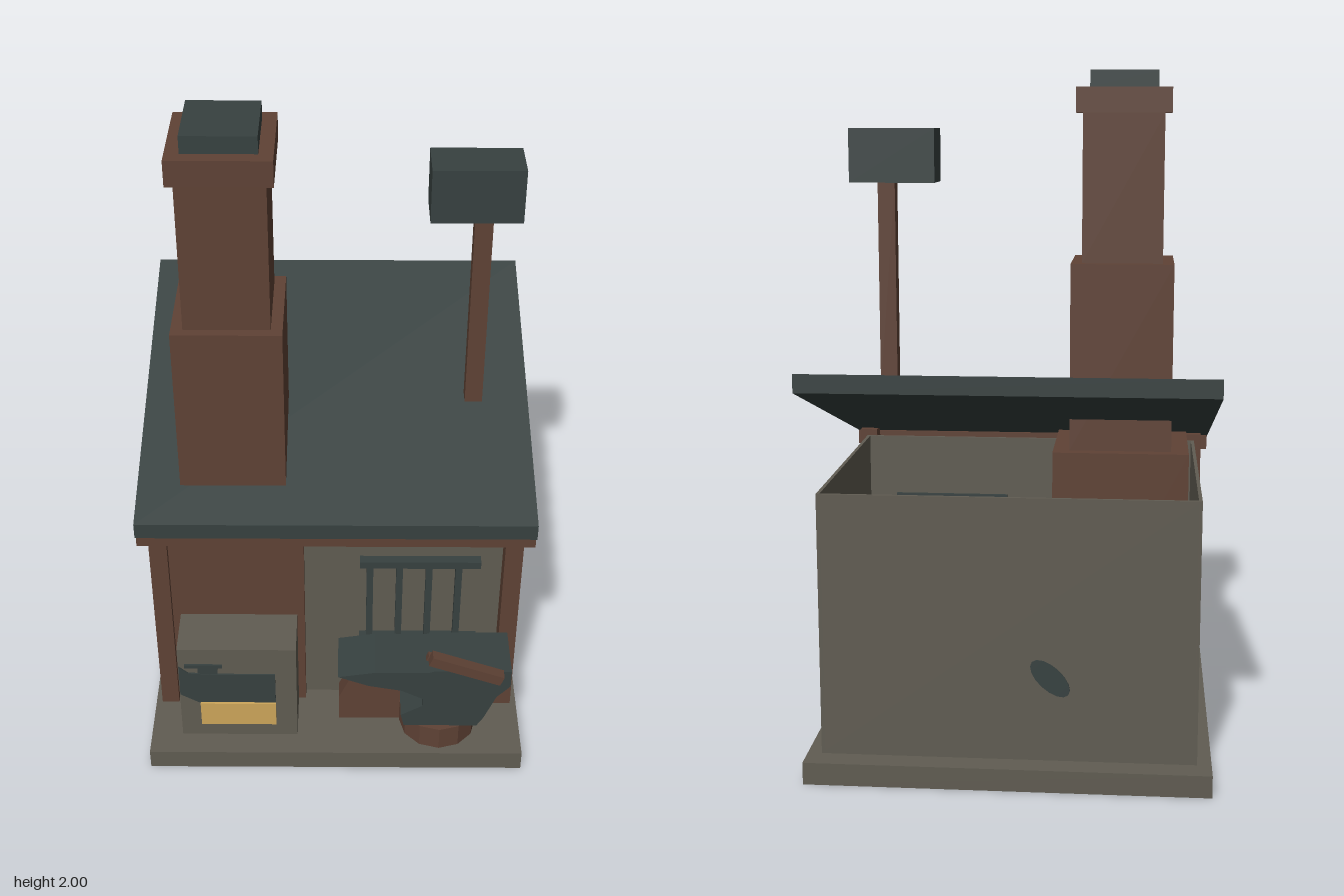
import * as THREE from 'three';

const flat = (name, color) => {
  const m = new THREE.MeshStandardMaterial({ color });
  m.name = name;
  return m;
};

export function createModel() {
  const model = new THREE.Group();
  model.name = 'smithy';
  const stone = flat('stone', 0x605c52);
  const brown = flat('brown', 0x5f4235);
  const iron = flat('iron', 0x374140);
  const gold = flat('ember gold', 0xcda65a);

  const add = (name, geometry, material) => {
    const mesh = new THREE.Mesh(geometry, material);
    mesh.name = name;
    model.add(mesh);
    return mesh;
  };
  // Box given by its extents on each axis
  const box = (name, material, x0, x1, y0, y1, z0, z1) => {
    const mesh = add(name, new THREE.BoxGeometry(x1 - x0, y1 - y0, z1 - z0), material);
    mesh.position.set((x0 + x1) / 2, (y0 + y1) / 2, (z0 + z1) / 2);
    return mesh;
  };
  // Outline in x and y, extruded between two z values
  const slice = (name, material, points, z0, z1) => {
    const shape = new THREE.Shape(points.map(([x, y]) => new THREE.Vector2(x, y)));
    const mesh = add(name, new THREE.ExtrudeGeometry(shape, { depth: z1 - z0, bevelEnabled: false }), material);
    mesh.position.z = z0;
    return mesh;
  };

  // Base slab, hollow underneath
  box('baseTop', stone, -0.575, 0.575, 0.055, 0.065, -0.575, 0.575);
  for (const s of [-1, 1]) {
    const a = s * 0.572;
    box('baseSide', stone, a - 0.005, a + 0.005, 0, 0.065, -0.577, 0.577);
    box('baseEnd', stone, -0.577, 0.577, 0, 0.065, a - 0.005, a + 0.005);
  }

  // Thin walls, open at the top
  for (const s of [-1, 1]) {
    box('sideWall', stone, s * 0.531 - 0.005, s * 0.531 + 0.005, 0.065, 0.83, -0.505, 0.31);
    box('cornerPost', brown, s * 0.531 - 0.027, s * 0.531 + 0.027, 0.065, 0.85, 0.308, 0.365);
  }
  box('backWall', stone, -0.535, 0.535, 0.065, 0.83, -0.505, -0.495);
  box('frontWall', stone, -0.535, 0.535, 0.065, 0.83, 0.3, 0.31);

  // Dark patches on the side and back walls
  const patch = (name) => {
    const shape = new THREE.Shape();
    shape.absellipse(0, 0, 0.07, 0.034, 0, Math.PI * 2, false, 0);
    return add(name, new THREE.ExtrudeGeometry(shape, { depth: 0.006, bevelEnabled: false, curveSegments: 8 }), iron);
  };
  const sidePatch = patch('sidePatch');
  sidePatch.rotation.set(0, Math.PI / 2, 0.3, 'YXZ');
  sidePatch.position.set(0.533, 0.18, -0.065);
  const backPatch = patch('backPatch');
  backPatch.rotation.set(0, Math.PI, -0.75, 'YXZ');
  backPatch.position.set(-0.12, 0.31, -0.502);

  // Sloping roof and its front beam
  const roof = slice('roof', iron,
    [[-0.44, 0.817], [0.547, 1.122], [0.547, 1.175], [-0.44, 0.867]], -0.583, 0.583);
  roof.rotation.y = Math.PI / 2;
  roof.position.set(-0.583, 0, 0);
  box('frontBeam', brown, -0.58, 0.58, 0.785, 0.83, 0.388, 0.437);

  // Stepped chimney
  box('chimneyBreast', brown, -0.51, -0.097, 0.065, 0.86, -0.05, 0.345);
  box('chimneyLower', brown, -0.457, -0.147, 0.86, 1.43, -0.013, 0.308);
  box('chimneyUpper', brown, -0.423, -0.18, 1.43, 1.875, 0.017, 0.279);
  box('chimneyCollar', brown, -0.444, -0.16, 1.875, 1.95, 0, 0.296);
  box('chimneyCap', iron, -0.404, -0.2, 1.95, 2, 0.036, 0.256);

  // Raised box on a pole
  box('pole', brown, 0.385, 0.437, 1.04, 1.67, 0.014, 0.064);
  box('poleBox', iron, 0.258, 0.515, 1.67, 1.83, -0.033, 0.108);

  // Barred grille in the front wall
  box('grilleTop', iron, 0.072, 0.438, 0.615, 0.64, 0.29, 0.34);
  box('grilleBottom', iron, 0.072, 0.438, 0.3, 0.33, 0.29, 0.34);
  for (const x of [0.103, 0.193, 0.283, 0.373]) {
    box('grilleBar', iron, x - 0.01, x + 0.01, 0.33, 0.615, 0.295, 0.33);
  }

  // Forge with a dark mouth and embers
  box('forge', stone, -0.48, -0.12, 0.065, 0.43, 0.34, 0.501);
  slice('forgeMouth', iron, [[-0.478, 0.36], [-0.45, 0.335], [-0.38, 0.33], [-0.185, 0.33],
    [-0.185, 0.21], [-0.42, 0.21], [-0.478, 0.245]], 0.5, 0.506);
  box('forgeHandle', iron, -0.46, -0.345, 0.357, 0.37, 0.5, 0.506);
  box('forgeHandleStem', iron, -0.42, -0.36, 0.33, 0.357, 0.5, 0.504);
  box('embers', gold, -0.417, -0.185, 0.122, 0.212, 0.5, 0.513);

  // Anvil on a stump
  const stump = add('stump', new THREE.CylinderGeometry(0.12, 0.12, 0.145, 12).toNonIndexed(), brown);
  stump.geometry.computeVertexNormals();
  stump.position.set(0.32, 0.0725, 0.435);
  slice('anvil', iron, [[0.007, 0.352], [0.12, 0.371], [0.28, 0.371], [0.3, 0.378], [0.53, 0.378],
    [0.53, 0.315], [0.49, 0.27], [0.455, 0.18], [0.435, 0.145], [0.21, 0.145], [0.2, 0.19],
    [0.265, 0.23], [0.265, 0.26], [0.2, 0.295], [0.1, 0.315]].reverse(), 0.367, 0.535);
  box('anvilPeg', brown, 0.47, 0.525, 0.285, 0.315, 0.4, 0.428);

  // Leaning block behind the anvil
  slice('leaningBlock', brown,
    [[0.01, 0.065], [0.21, 0.065], [0.22, 0.18], [0.065, 0.288], [0.01, 0.16]], 0.37, 0.43);

  // Hammer handle leaning across the anvil
  const handle = box('hammerHandle', brown, 0.275, 0.505, 0.402, 0.436, 0.545, 0.578);
  handle.rotation.z = -0.36;
  box('hammerNeck', brown, 0.27, 0.37, 0.42, 0.44, 0.53, 0.55).rotation.z = -0.36;

  return model;
}
